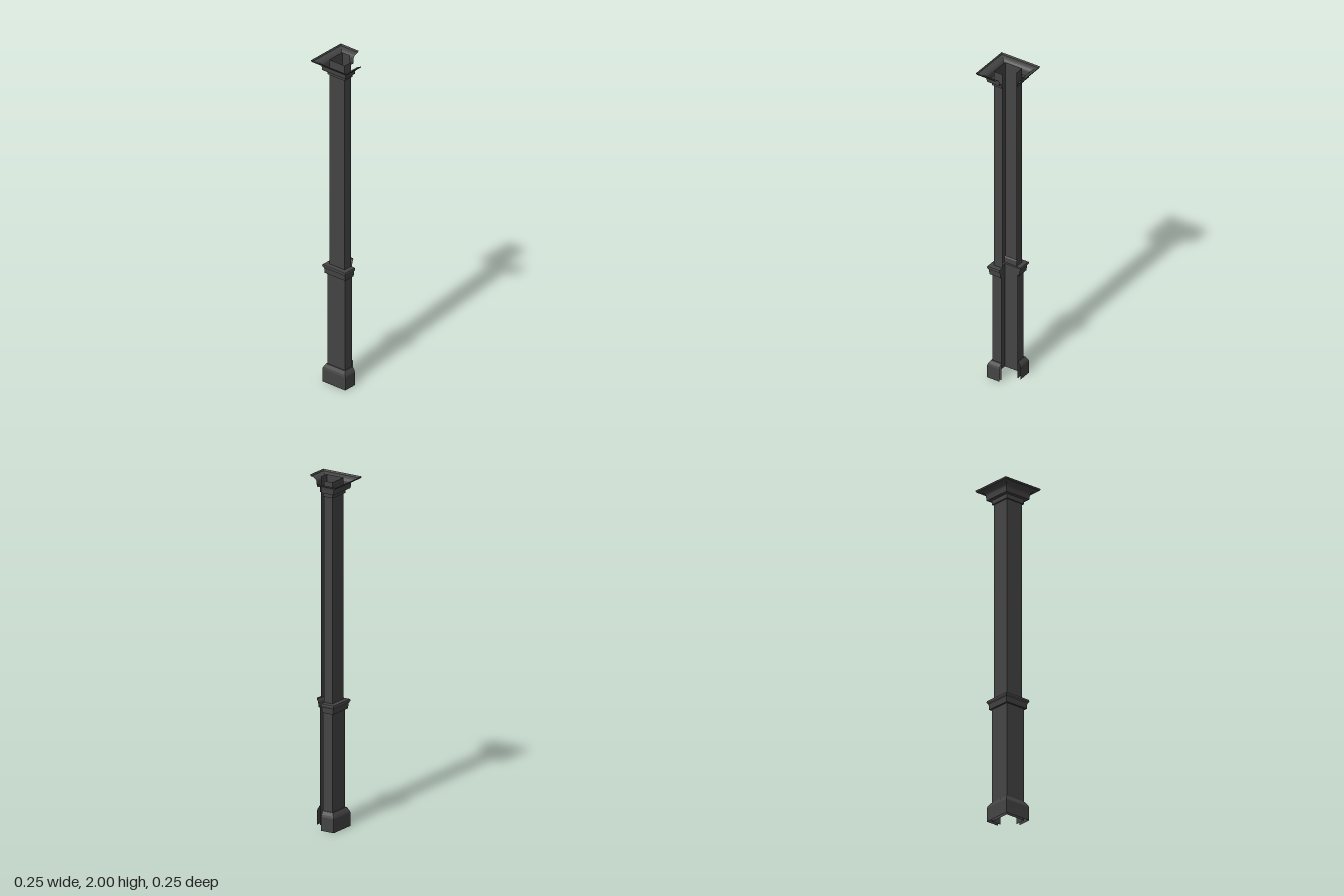
import * as THREE from 'three';

// Plan of the post: a unit square with its back +x quarter left open
const PLAN = [[0, -1], [-1, -1], [-1, 1], [1, 1], [1, 0]];

const material = new THREE.MeshStandardMaterial({
  color: 0x444444, flatShading: true, side: THREE.DoubleSide,
});

// Sweeps a profile of [half width, height] points, bottom to top, round the plan
function moulding(name, profile) {
  const positions = [];
  const point = ([x, z], [half, y]) => [x * half, y, z * half];
  for (let s = 0; s < PLAN.length - 1; s++) {
    for (let i = 0; i < profile.length - 1; i++) {
      const a = point(PLAN[s], profile[i]);
      const b = point(PLAN[s + 1], profile[i]);
      const c = point(PLAN[s + 1], profile[i + 1]);
      const d = point(PLAN[s], profile[i + 1]);
      positions.push(...a, ...b, ...c, ...a, ...c, ...d);
    }
  }
  const geometry = new THREE.BufferGeometry();
  geometry.setAttribute('position', new THREE.Float32BufferAttribute(positions, 3));
  geometry.computeVertexNormals();
  const mesh = new THREE.Mesh(geometry, material);
  mesh.name = name;
  return mesh;
}

export function createModel() {
  const group = new THREE.Group();
  group.name = 'cornerPost';

  // Plain hollow shafts
  group.add(moulding('lowerShaft', [[0.062, 0], [0.062, 0.675]]));
  group.add(moulding('upperShaft', [[0.055, 0.73], [0.055, 2]]));

  // Plinth with a tapered shoulder
  group.add(moulding('plinth', [
    [0.082, 0], [0.082, 0.08], [0.078, 0.092], [0.067, 0.11], [0.062, 0.11],
  ]));

  // Band between the shafts
  group.add(moulding('middleBand', [
    [0.062, 0.675], [0.073, 0.675], [0.075, 0.705], [0.081, 0.714],
    [0.083, 0.72], [0.081, 0.728], [0.075, 0.73], [0.055, 0.73],
  ]));

  // Capital: neck, step, flared cove and thin lip
  const cove = [];
  for (let i = 0; i <= 6; i++) {
    const t = (i / 6) * Math.PI / 2;
    cove.push([0.123 - 0.038 * Math.cos(t), 1.963 + 0.027 * Math.sin(t)]);
  }
  group.add(moulding('capital', [
    [0.055, 1.912], [0.063, 1.912], [0.063, 1.938], [0.083, 1.938],
    ...cove, [0.127, 2],
  ]));

  return group;
}
